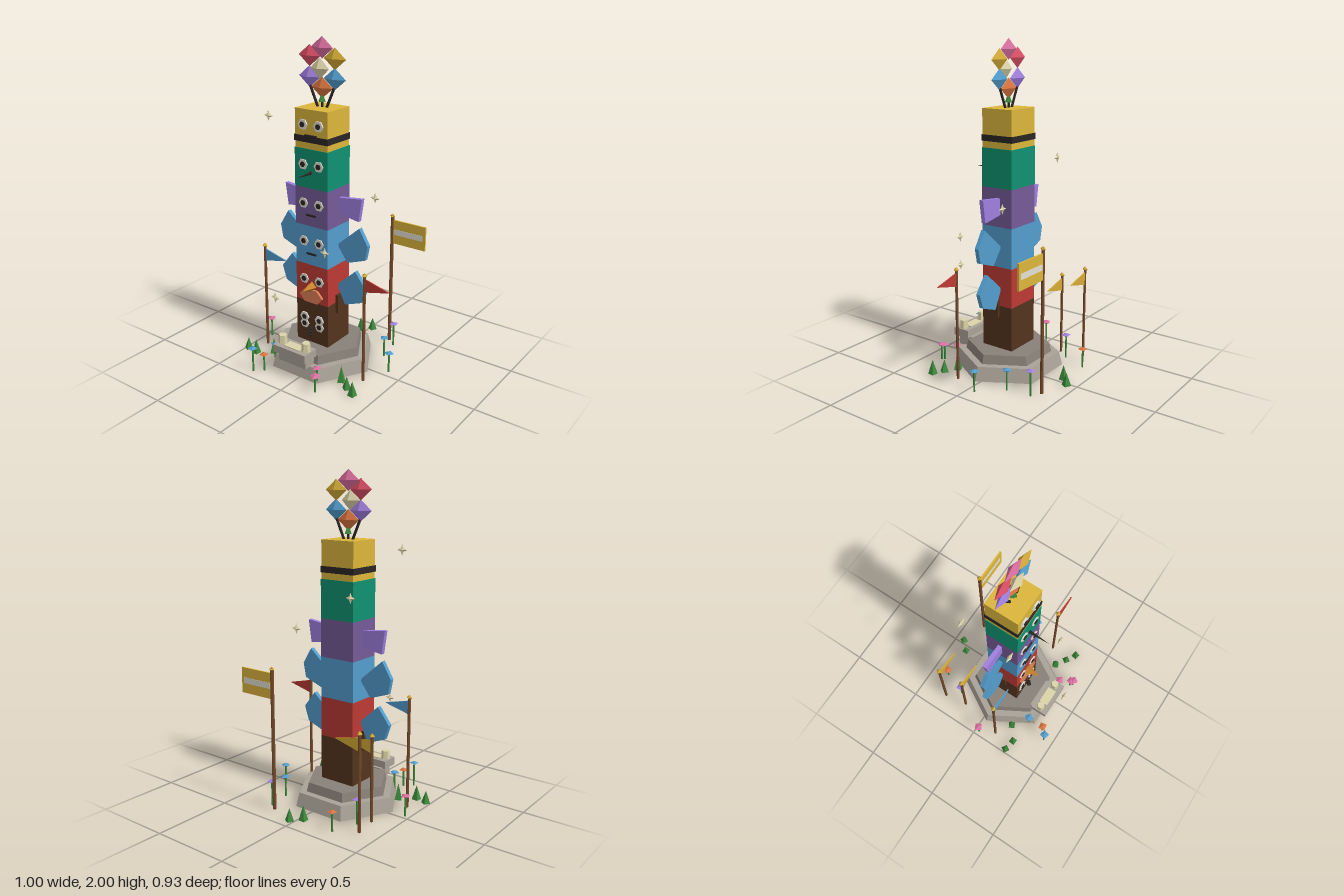
import * as THREE from 'three';

const C = {
  yellow: 0xdcb63c, green: 0x0f9270, purple: 0x755a96, blue: 0x529dcd, red: 0xbc3a33, brown: 0x54341f,
  dark: 0x2a2624, cream: 0xdcd3a8, white: 0xe4e0d4, lilac: 0xa080e0, orange: 0xd9733f, peach: 0xdd7e55,
  beak: 0xc9822a, pink: 0xdc6fa0, rose: 0xdc4f66, grass: 0x3c8a3c, wood: 0x744a2a,
  stone: 0xa9a297, stoneDark: 0x888178, gold: 0xd4ab35,
};
const mats = {};
const mat = (c) => (mats[c] ??= new THREE.MeshStandardMaterial({ color: C[c], flatShading: true }));

function add(parent, name, geo, color, x = 0, y = 0, z = 0) {
  const m = new THREE.Mesh(geo, mat(color));
  m.name = name;
  m.position.set(x, y, z);
  parent.add(m);
  return m;
}
const box = (w, h, d) => new THREE.BoxGeometry(w, h, d);
const gem = (x, y, z) => new THREE.OctahedronGeometry(1).scale(x, y, z);
const hexDisc = (r, d) => new THREE.CylinderGeometry(r, r, d, 6, 1, false, Math.PI / 6).rotateX(Math.PI / 2);

// flat plate from outline points, centred on z
function plate(points, depth) {
  const shape = new THREE.Shape(points.map(([x, y]) => new THREE.Vector2(x, y)));
  return new THREE.ExtrudeGeometry(shape, { depth, bevelEnabled: false }).translate(0, 0, -depth / 2);
}

// rod between two points
function rod(parent, name, a, b, r, color) {
  const p = new THREE.Vector3(...a), q = new THREE.Vector3(...b);
  const m = add(parent, name, new THREE.CylinderGeometry(r, r, p.distanceTo(q), 6), color);
  m.position.copy(p).lerp(q, 0.5);
  m.quaternion.setFromUnitVectors(new THREE.Vector3(0, 1, 0), q.sub(p).normalize());
}

// four-pointed star with a raised centre on both faces
function starGeometry(w, h, d) {
  const pos = [];
  const pt = (i) => {
    const a = (i * Math.PI) / 4, k = i % 2 ? 0.4 : 1;
    return [Math.cos(a) * w * k, Math.sin(a) * h * k, 0];
  };
  for (let i = 0; i < 8; i++) {
    pos.push(...pt(i), ...pt(i + 1), 0, 0, d, ...pt(i + 1), ...pt(i), 0, 0, -d);
  }
  const g = new THREE.BufferGeometry();
  g.setAttribute('position', new THREE.Float32BufferAttribute(pos, 3));
  g.computeVertexNormals();
  return g;
}

function buildBase(g) {
  const tier = (name, rt, rb, y0, y1, color) =>
    add(g, name, new THREE.CylinderGeometry(rt, rb, y1 - y0, 6).rotateY(Math.PI / 6), color, 0, (y0 + y1) / 2, 0);
  tier('lowerBase', 0.315, 0.338, 0.005, 0.09, 'stone');
  tier('upperBase', 0.255, 0.268, 0.09, 0.145, 'stoneDark');
  // altar
  add(g, 'altarFoot', box(0.205, 0.065, 0.1), 'stone', 0, 0.118, 0.26);
  add(g, 'altarSlab', box(0.242, 0.05, 0.11), 'stone', 0, 0.17, 0.285);
  add(g, 'altarCloth', box(0.115, 0.006, 0.06), 'cream', 0, 0.197, 0.285);
  for (const s of [-1, 1])
    add(g, 'candle', new THREE.CylinderGeometry(0.025, 0.028, 0.055, 6), 'cream', s * 0.089, 0.222, 0.285);
}

function buildTotem(g) {
  const F = 0.108; // front face of the column
  const blocks = [
    ['brown', 0.145, 0.42], ['red', 0.42, 0.665], ['blue', 0.665, 0.912],
    ['purple', 0.912, 1.145], ['green', 1.145, 1.377], ['yellow', 1.377, 1.605],
  ];
  for (const [color, y0, y1] of blocks) {
    const s = color === 'yellow' ? 0.006 : 0;
    add(g, color + 'Block', box(0.236 - s, y1 - y0, 0.216 - s), color, 0, (y0 + y1) / 2, 0);
  }
  add(g, 'headBand', box(0.238, 0.037, 0.219), 'dark', 0, 1.434, 0);

  // eyes
  for (const y of [0.265, 0.31, 0.567, 0.812, 1.05, 1.284, 1.517])
    for (const s of [-1, 1]) {
      add(g, 'eye', hexDisc(0.033, 0.012), 'white', s * 0.056, y, F + (y === 0.31 ? 0.002 : 0));
      add(g, 'pupil', hexDisc(0.017, 0.012), 'dark', s * 0.056, y, F + 0.005);
    }
  // mouths
  for (const [y, w] of [[0.737, 0.07], [0.98, 0.07], [1.455, 0.085]])
    add(g, 'mouth', box(w, 0.011, 0.012), 'dark', 0, y, F + 0.002);
  // beaks
  const beak = (r, len) => new THREE.ConeGeometry(r, len, 4).rotateX(Math.PI / 2);
  add(g, 'longBeak', beak(0.011, 0.13), 'dark', 0, 1.24, F + 0.063);
  add(g, 'shortBeak', beak(0.034, 0.095), 'beak', 0, 0.525, F + 0.045);
  // chest plate
  const chest = [[-0.085, 0.465], [-0.048, 0.422], [0.048, 0.422], [0.085, 0.465], [0.045, 0.507], [-0.045, 0.507]];
  add(g, 'chestPlate', plate(chest, 0.03), 'peach', 0, 0, F);
  // snout beads
  for (const y of [0.25, 0.23, 0.208]) add(g, 'snoutBead', gem(0.017, 0.017, 0.02), 'dark', 0, y, F + 0.02);

  // wings and side arms
  const wings = [
    ['lowerWing', 'blue', [[0.11, 0.53], [0.168, 0.41], [0.288, 0.456], [0.318, 0.546], [0.24, 0.647]]],
    ['middleWing', 'blue', [[0.11, 0.79], [0.185, 0.69], [0.308, 0.735], [0.326, 0.825], [0.265, 0.925]]],
    ['upperWing', 'lilac', [[0.11, 0.988], [0.26, 0.965], [0.281, 1.105], [0.11, 1.085]]],
  ];
  for (const s of [-1, 1]) {
    for (const [name, color, pts] of wings) {
      const m = add(g, name, plate(pts, 0.027), color, 0, 0, -0.012);
      if (s < 0) m.rotation.y = Math.PI;
    }
    add(g, 'sideArm', box(0.03, 0.12, 0.045), 'brown', s * 0.12, 0.41, 0.005);
  }

  // crown of gems
  const gems = [
    ['pink', 0, 1.938, 0], ['rose', -0.088, 1.888, 0], ['gold', 0.088, 1.882, 0], ['cream', 0, 1.825, 0.022],
    ['lilac', -0.088, 1.77, 0], ['blue', 0.088, 1.77, 0], ['orange', 0, 1.715, 0],
  ];
  for (const [c, x, y, z] of gems)
    add(g, 'crownGem', c === 'cream' ? gem(0.064, 0.062, 0.03) : gem(0.076, 0.062, 0.028), c, x, y, z);
  for (const s of [-1, 1]) rod(g, 'crownStem', [s * 0.03, 1.6, 0], [s * 0.084, 1.72, 0], 0.008, 'dark');
  rod(g, 'crownStem', [0, 1.6, 0], [0, 1.7, 0], 0.008, 'dark');
  add(g, 'crownLeaf', new THREE.ConeGeometry(0.025, 0.06, 4), 'grass', 0, 1.665, 0);
}

function buildFlag(g, x, z, top, color, len, banner) {
  const flag = new THREE.Group();
  flag.name = 'flag';
  flag.position.set(x, 0, z);
  g.add(flag);
  const r = banner ? 0.011 : 0.009;
  add(flag, 'pole', new THREE.CylinderGeometry(r, r, top - 0.02, 6), 'wood', 0, top / 2, 0);
  add(flag, 'finial', gem(0.018, 0.018, 0.018), 'gold', 0, top - 0.016, 0);
  if (banner) {
    add(flag, 'banner', box(len, 0.155, 0.011), color, len / 2, top - 0.117, 0);
    add(flag, 'bannerStripe', box(len - 0.035, 0.036, 0.014), 'white', len / 2, top - 0.117, 0);
  } else {
    const y = top - 0.035;
    add(flag, 'pennant', plate([[0, y], [0, y - 0.084], [len, y - 0.042]], 0.008), color);
  }
}

export function createModel() {
  const model = new THREE.Group();
  model.name = 'totemShrine';
  const totem = new THREE.Group();
  totem.name = 'totem';
  totem.position.set(-0.043, 0, 0.029);
  model.add(totem);
  buildBase(totem);
  buildTotem(totem);

  // flags
  buildFlag(model, -0.418, 0.13, 0.715, 'blue', 0.168);
  buildFlag(model, 0.332, 0.13, 0.71, 'red', 0.168);
  buildFlag(model, 0.195, -0.38, 0.893, 'yellow', 0.238, true);
  buildFlag(model, -0.384, -0.312, 0.61, 'gold', 0.17);
  buildFlag(model, -0.36, -0.161, 0.548, 'gold', 0.17);

  // floating stars
  const star = starGeometry(0.034, 0.034, 0.012);
  for (const [x, y, z] of [[-0.313, 1.548, 0.184], [-0.228, 1.308, -0.194], [0.227, 1.07, -0.125],
    [0.142, 0.829, 0.255], [-0.076, 0.56, 0.437]]) add(model, 'star', star, 'cream', x, y, z);

  // grass tufts
  [[0.023, -0.44], [-0.034, -0.384], [-0.31, 0.195], [-0.475, 0.25], [-0.4, 0.263],
    [0.232, 0.215], [0.305, 0.26], [0.37, 0.298]].forEach(([x, z], i) => {
    const h = 0.08 + 0.012 * (i % 3);
    add(model, 'grassTuft', new THREE.ConeGeometry(0.029, h, 4), 'grass', x, 0.008 + h / 2, z).rotation.y = i * 0.5 + 0.3;
  });

  // flowers
  [['orange', -0.25, 0.125, -0.387], ['lilac', -0.308, 0.16, -0.23], ['pink', -0.47, 0.133, 0.027],
    ['blue', -0.225, 0.135, 0.28], ['blue', -0.272, 0.16, 0.435], ['orange', -0.222, 0.115, 0.39],
    ['pink', 0.123, 0.105, 0.31], ['pink', 0.175, 0.107, 0.395], ['pink', 0.163, 0.105, 0.38],
    ['lilac', 0.25, 0.16, -0.34], ['blue', 0.275, 0.133, -0.19], ['blue', 0.4, 0.133, -0.048],
  ].forEach(([c, x, y, z], i) => {
    rod(model, 'flowerStem', [x, 0.005, z], [x, y, z], 0.006, 'grass');
    add(model, 'flowerHead', gem(0.031, 0.013, 0.031), c, x, y, z).rotation.y = i * 0.4 + 0.5;
  });
  return model;
}
